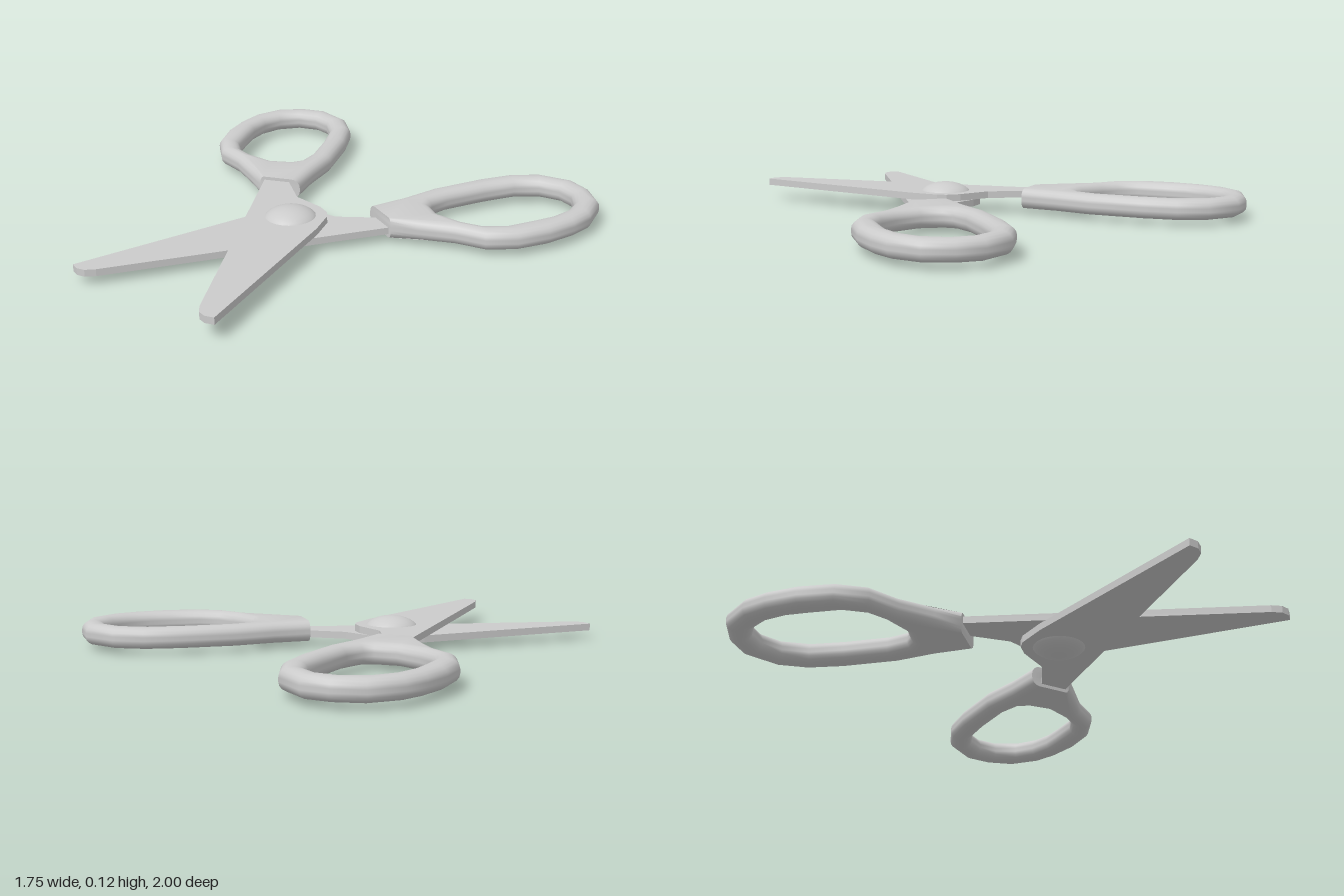
import * as THREE from 'three';
import { toCreasedNormals } from 'three/addons/utils/BufferGeometryUtils.js';

const PIVOT = new THREE.Vector3(-0.2465, 0.065, 0.16);
const BASE_Z = -0.148; // flat end of the grip, where the blade enters

// outlines as [x, z] seen from above; the hole runs the opposite way round
const BLADE = [
  [-0.47, -0.22], [-0.36, -0.22], [-0.352, -0.143], [-0.278, -0.016], [-0.161, 0.053],
  [-0.121, 0.095], [-0.109, 0.132], [-0.114, 0.249], [-0.226, 0.998], [-0.262, 0.995],
  [-0.288, 0.975], [-0.302, 0.937],
];
const GRIP_OUTER = [
  [-0.479, BASE_Z], [-0.31, BASE_Z], [-0.297, -0.291], [-0.269, -0.444], [-0.269, -0.661],
  [-0.286, -0.799], [-0.339, -0.91], [-0.458, -0.995], [-0.563, -1.0], [-0.675, -0.963],
  [-0.759, -0.862], [-0.791, -0.767], [-0.807, -0.646], [-0.796, -0.513], [-0.743, -0.402],
  [-0.643, -0.328], [-0.549, -0.222],
];
const GRIP_INNER = [
  [-0.601, -0.392], [-0.664, -0.439], [-0.701, -0.513], [-0.706, -0.635], [-0.706, -0.714],
  [-0.685, -0.799], [-0.638, -0.868], [-0.563, -0.91], [-0.484, -0.905], [-0.415, -0.857],
  [-0.373, -0.767], [-0.362, -0.635], [-0.362, -0.466], [-0.384, -0.381], [-0.415, -0.357],
  [-0.495, -0.347],
];

const toPoints = (list) => list.map(([x, z]) => new THREE.Vector2(x, z));

// extrude a top-view outline and lay it flat, its middle at the given height
function slab(shape, options, midY) {
  const geo = new THREE.ExtrudeGeometry(shape, options);
  geo.translate(0, 0, -options.depth / 2);
  geo.rotateX(Math.PI / 2);
  geo.translate(0, midY, 0);
  return geo;
}

function gripGeometry() {
  const shape = new THREE.Shape(toPoints(GRIP_OUTER));
  shape.holes.push(new THREE.Path(toPoints(GRIP_INNER)));
  const round = 0.038;
  const geo = slab(shape, {
    depth: 0.014, bevelEnabled: true, bevelThickness: 0.034, bevelSize: round,
    bevelOffset: -round, bevelSegments: 4,
  }, 0);
  // keep the end towards the blade flat instead of rounded
  const pos = geo.attributes.position;
  for (let i = 0; i < pos.count; i++) {
    if (pos.getZ(i) > BASE_Z - round * 1.2) pos.setZ(i, BASE_Z);
  }
  return toCreasedNormals(geo, 0.9);
}

export function createModel() {
  const model = new THREE.Group();
  model.name = 'scissors';
  const material = new THREE.MeshStandardMaterial({ color: 0xcccccc });
  const add = (parent, geo, name) => {
    const mesh = new THREE.Mesh(geo, material);
    mesh.name = name;
    parent.add(mesh);
    return mesh;
  };

  // two identical halves: the second is flipped over about the line between the blades
  const bladeGeo = slab(new THREE.Shape(toPoints(BLADE)), { depth: 0.027, bevelEnabled: false }, 0.0145);
  const gripGeo = gripGeometry();
  for (const geo of [bladeGeo, gripGeo]) geo.translate(-PIVOT.x, 0, -PIVOT.z);
  const angle = THREE.MathUtils.degToRad(113.67);
  const axis = new THREE.Vector3(Math.cos(angle), 0, Math.sin(angle));
  ['upper', 'lower'].forEach((side, i) => {
    const half = new THREE.Group();
    half.name = side + 'Half';
    add(half, bladeGeo, side + 'Blade');
    add(half, gripGeo, side + 'Handle');
    half.position.copy(PIVOT);
    half.setRotationFromAxisAngle(axis, i * Math.PI);
    model.add(half);
  });

  // domed pivot rivet showing on both faces
  const rivet = add(model, new THREE.SphereGeometry(1, 24, 16), 'pivotRivet');
  rivet.scale.set(0.109, 0.062, 0.109);
  rivet.position.copy(PIVOT);
  return model;
}
